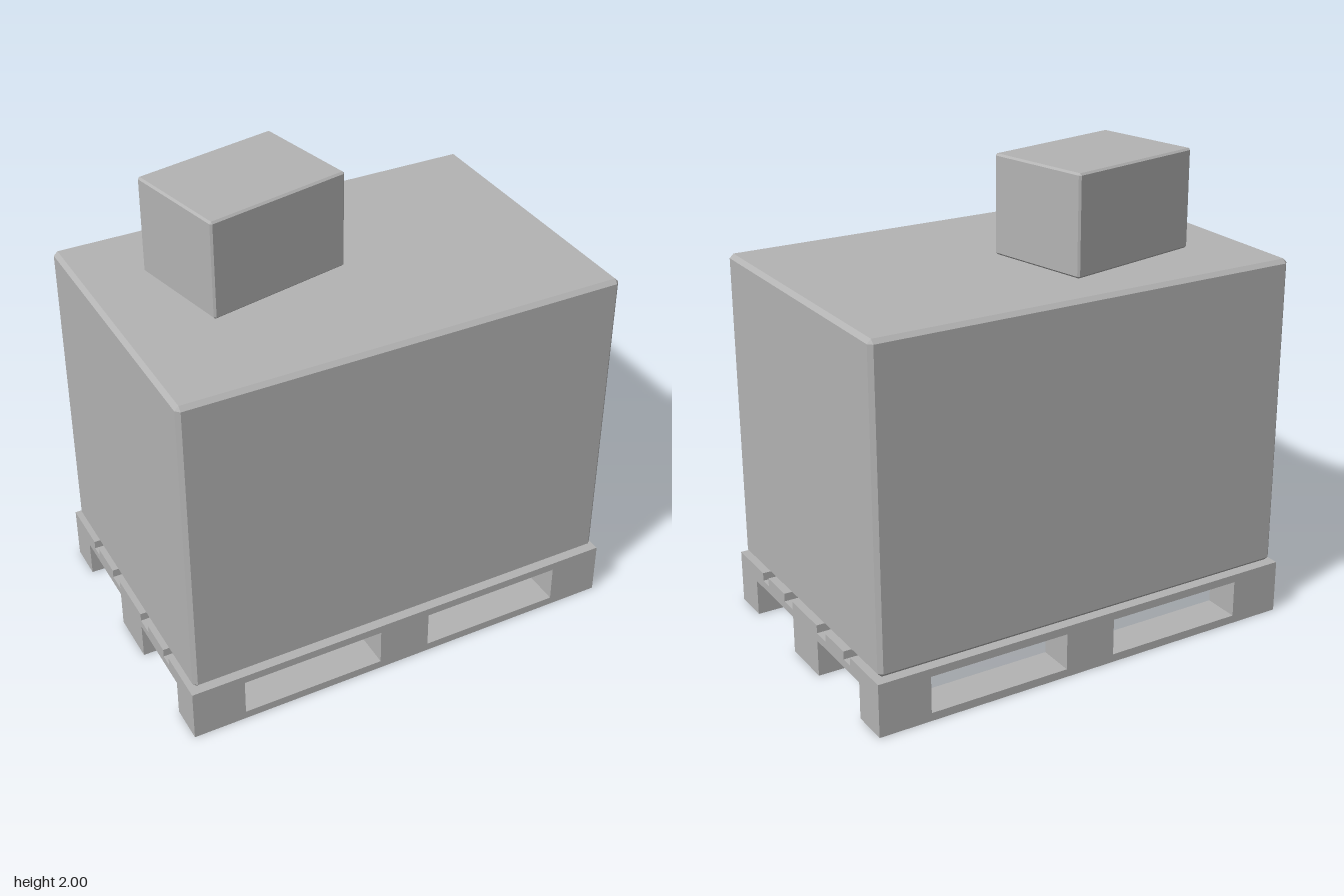
import * as THREE from 'three';
import { ConvexGeometry } from 'three/addons/geometries/ConvexGeometry.js';

// Box with flat bevels on every edge, standing on y = 0
function bevelledBox(w, h, d, bevel) {
  const half = [w / 2, h / 2, d / 2];
  const points = [];
  for (const sx of [-1, 1]) for (const sy of [-1, 1]) for (const sz of [-1, 1]) {
    for (let axis = 0; axis < 3; axis++) {
      const p = half.map((v, i) => (i === axis ? v : v - bevel));
      points.push(new THREE.Vector3(p[0] * sx, p[1] * sy, p[2] * sz));
    }
  }
  return new ConvexGeometry(points).translate(0, h / 2, 0);
}

export function createModel() {
  const model = new THREE.Group();
  model.name = 'loadedPallet';
  const grey = new THREE.MeshStandardMaterial({ color: 0xb3b3b3 });
  grey.name = 'grey';

  const pallet = new THREE.Group();
  pallet.name = 'pallet';
  model.add(pallet);

  const length = 1.92, board = 0.035;
  const rows = [{ z: 0.565, d: 0.16 }, { z: 0, d: 0.23 }, { z: -0.565, d: 0.16 }];
  const columns = [-0.847, 0, 0.847];
  const blockWidth = 0.226;

  function addBox(name, w, h, d, x, bottom, z) {
    const mesh = new THREE.Mesh(new THREE.BoxGeometry(w, h, d), grey);
    mesh.name = name;
    mesh.position.set(x, bottom + h / 2, z);
    pallet.add(mesh);
  }

  // Three runners, each carrying three blocks
  for (const { z, d } of rows) {
    addBox('runner', length, board, d, 0, 0, z);
    for (const x of columns) addBox('block', blockWidth, 0.125, d, x, board, z);
  }

  // Cross boards joining the blocks
  for (const x of columns) addBox('crossBoard', blockWidth, board, 1.29, x, 0.16, 0);

  // Deck boards: wide at the edges and middle, narrow between
  for (const [z, d] of [[0.5275, 0.235], [0.275, 0.16], [0, 0.23], [-0.275, 0.16], [-0.5275, 0.235]]) {
    addBox('deckBoard', length, board, d, 0, 0.195, z);
  }

  // Large carton on the pallet
  const largeCarton = new THREE.Mesh(bevelledBox(1.885, 1.345, 1.25, 0.017), grey);
  largeCarton.name = 'largeCarton';
  largeCarton.position.y = 0.237;
  model.add(largeCarton);

  // Small carton turned slightly on top
  const smallCarton = new THREE.Mesh(bevelledBox(0.635, 0.413, 0.472, 0.008), grey);
  smallCarton.name = 'smallCarton';
  smallCarton.position.set(-0.323, 1.587, -0.13);
  smallCarton.rotation.y = 0.208;
  model.add(smallCarton);

  return model;
}
